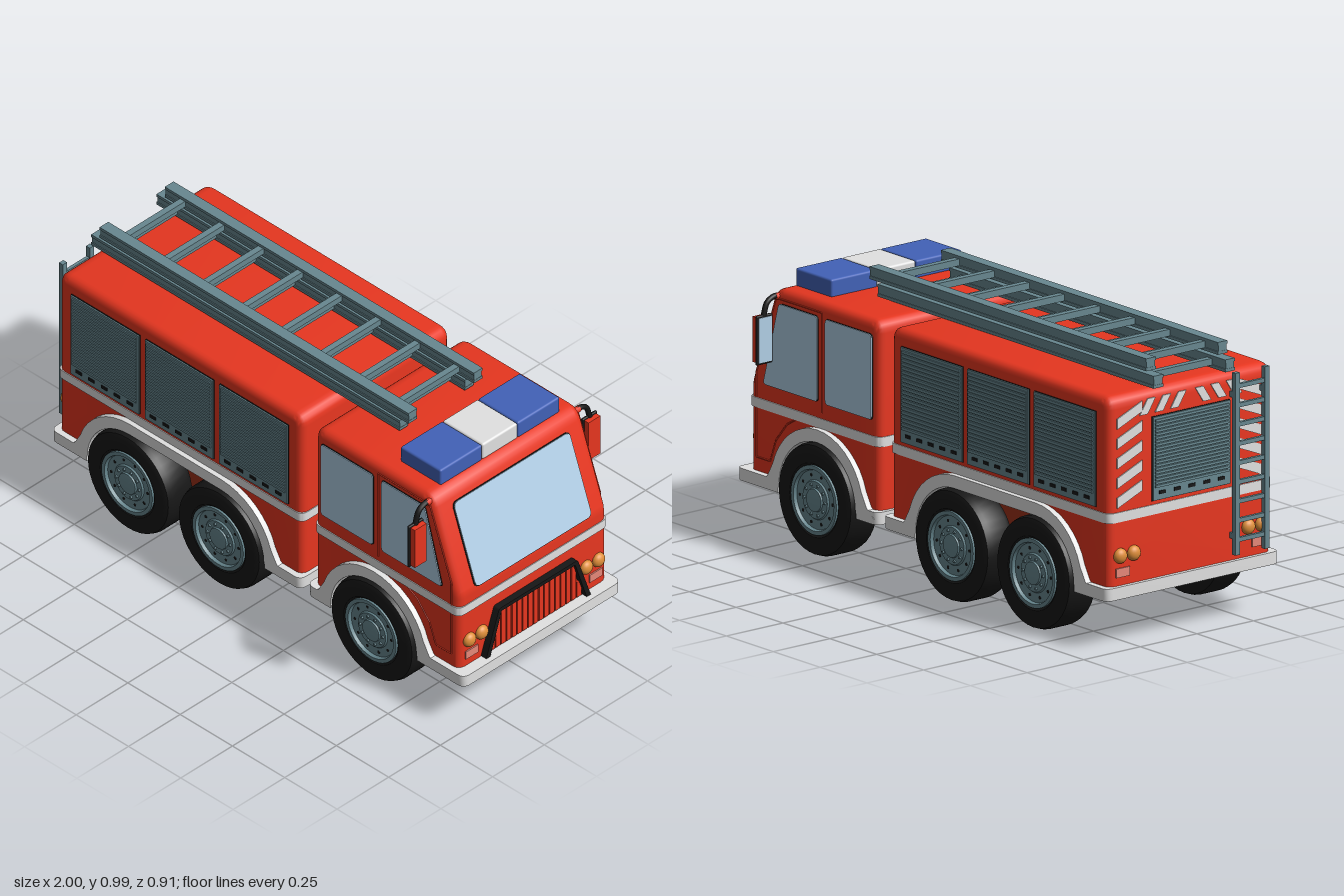
import * as THREE from 'three';
import { toCreasedNormals } from 'three/addons/utils/BufferGeometryUtils.js';
import { RoundedBoxGeometry } from 'three/addons/geometries/RoundedBoxGeometry.js';

const paint = (name, color) => Object.assign(new THREE.MeshStandardMaterial({ color }), { name });

export function createModel() {
  const red = paint('red', 0xee3821), darkRed = paint('dark red', 0x9e3019), grey = paint('light grey', 0xe2e2e2);
  const steel = paint('steel', 0x688890), black = paint('black', 0x171717), glass = paint('glass', 0xb3d1e8);
  const blue = paint('blue', 0x4262b8), orange = paint('orange', 0xe08f3a), pink = paint('pale red', 0xee8d7e);
  const truck = new THREE.Group();
  truck.name = 'fireTruck';

  const add = (name, geo, mat, parent = truck) => {
    const m = new THREE.Mesh(geo, mat);
    m.name = name;
    parent.add(m);
    return m;
  };
  const group = (name, parent = truck) => {
    const g = new THREE.Group();
    g.name = name;
    parent.add(g);
    return g;
  };
  // box from its min/max corners
  const box = (name, x0, x1, y0, y1, z0, z1, mat, parent = truck, r = 0) => {
    const s = [x1 - x0, y1 - y0, z1 - z0];
    const m = add(name, r ? new RoundedBoxGeometry(...s, 3, r) : new THREE.BoxGeometry(...s), mat, parent);
    m.position.set((x0 + x1) / 2, (y0 + y1) / 2, (z0 + z1) / 2);
    return m;
  };
  // polygon whose corners [x, y, r] are rounded by r
  const poly = (pts) => {
    const s = new THREE.Shape(), n = pts.length;
    pts.forEach(([x, y, r = 0], i) => {
      const toward = ([px, py]) => {
        const k = r / Math.hypot(px - x, py - y);
        return [x + (px - x) * k, y + (py - y) * k];
      };
      const start = r ? toward(pts[(i + n - 1) % n]) : [x, y];
      if (i) s.lineTo(...start); else s.moveTo(...start);
      if (r) s.quadraticCurveTo(x, y, ...toward(pts[(i + 1) % n]));
    });
    return s;
  };
  const rect = (x0, x1, y0, y1, r = 0) => [[x0, y0, r], [x1, y0, r], [x1, y1, r], [x0, y1, r]];
  const extrude = (shape, depth, bevel = 0) => {
    const g = new THREE.ExtrudeGeometry(shape, {
      depth: depth - 2 * bevel, curveSegments: 5, bevelEnabled: bevel > 0,
      bevelThickness: bevel, bevelSize: bevel, bevelOffset: -bevel, bevelSegments: 4,
    });
    return toCreasedNormals(g.translate(0, 0, bevel), 0.6);
  };
  const plate = (name, pts, mat, parent, depth = 0.006) => add(name, extrude(poly(pts), depth), mat, parent);

  // wheel opening, left to right: two quarter arcs, joined by a flat top if a and b differ
  const Y = 0.195;
  const arch = (a, b, r, skip = 0) => {
    const pts = [];
    for (let i = skip; i <= 20 - skip; i++) {
      const t = Math.PI * (1 - i / 20), y = Y + r * Math.sin(t);
      if (i <= 10) pts.push([a + r * Math.cos(t), y]);
      if (i > 10 || (i === 10 && a !== b)) pts.push([b + r * Math.cos(t), y]);
    }
    return pts;
  };
  // horizontal slab, notched for the wheels where asked
  const slab = (name, x0, x1, w, y0, y1, mat, notch) => {
    const [p, q, r, s] = rect(x0, x1, -w, w, 0.03);
    const cut = (a, b, k) => [[a, k * w], [a, k * 0.26], [b, k * 0.26], [b, k * w]];
    const pts = notch ? [p, ...cut(notch[0], notch[1], -1), q, r, ...cut(notch[1], notch[0], 1), s] : [p, q, r, s];
    const m = plate(name, pts, mat, truck, y1 - y0);
    m.rotation.x = -Math.PI / 2;
    m.position.y = y0;
  };

  // bodies, skirts, stripes and fenders
  const sections = [
    { name: 'rearBody', x0: -0.965, x1: 0.2, a: -0.6, b: -0.165, s0: -0.98, s1: 0.215,
      top: [[0.2, 0.89, 0.045], [-0.965, 0.89, 0.045]] },
    { name: 'cab', x0: 0.26, x1: 0.95, a: 0.565, b: 0.565, s0: 0.245, s1: 0.995,
      top: [[0.95, 0.53, 0.02], [0.82, 0.89, 0.045], [0.26, 0.89, 0.045]] },
  ];
  for (const { name, x0, x1, a, b, s0, s1, top } of sections) {
    const shell = [[x0, Y], ...arch(a, b, 0.21), [x1, Y], ...top];
    add(name, extrude(poly(shell), 0.72, 0.03), red).position.z = -0.36;
    box(name + 'WheelWell', x0 + 0.04, x1 - 0.04, 0.185, 0.5, -0.26, 0.26, darkRed);
    const notch = [a - 0.207, b + 0.207];
    slab(name + 'Skirt', s0, s1, 0.382, 0.176, 0.22, grey, notch);
    slab(name + 'Floor', s0 + 0.015, s1 - 0.015, 0.367, 0.174, 0.18, darkRed, notch);
    slab(name + 'Stripe', x0 - 0.003, x1 + 0.003, 0.363, 0.445, 0.48, grey);
    const R = 0.25;
    const band = [...arch(a, b, 0.205), [b + R + 0.055, Y], [b + R + 0.015, Y + 0.03],
      ...arch(a, b, R, 2).reverse(), [a - R - 0.015, Y + 0.03], [a - R - 0.055, Y]];
    for (const z of [0.28, -0.382]) plate(name + 'Fender', band, grey, truck, 0.102).position.z = z;
  }

  // wheels
  const lathe = (pts) => toCreasedNormals(new THREE.LatheGeometry(pts.map(([x, y]) => new THREE.Vector2(x, y)), 40), 0.6);
  const tyre = lathe([[0.115, -0.06], [0.175, -0.065], [0.192, -0.058], [0.198, -0.04], [0.198, 0.04],
    [0.192, 0.058], [0.175, 0.065], [0.13, 0.062], [0.115, 0.05]]);
  const rim = lathe([[0.122, 0.045], [0.122, 0.064], [0.108, 0.064], [0.104, 0.052], [0.07, 0.052],
    [0.066, 0.058], [0.042, 0.058], [0.04, 0.064], [0.03, 0.066], [0, 0.066]]);
  const disc = new THREE.CylinderGeometry(0.118, 0.118, 0.1, 32);
  const bolt = new THREE.CylinderGeometry(0.005, 0.005, 0.01, 8);
  const hole = new THREE.CylinderGeometry(0.006, 0.006, 0.004, 10);
  for (const x of [-0.6, -0.165, 0.565]) for (const s of [1, -1]) {
    const w = group('wheel');
    w.position.set(x, 0.198, s * 0.333);
    w.rotation.x = s * Math.PI / 2;
    add('tyre', tyre, black, w);
    add('rim', rim, steel, w);
    add('innerDisc', disc, black, w).position.y = -0.01;
    for (let i = 0; i < 10; i++) {
      const t = i * Math.PI / 5, c = Math.cos(t), n = Math.sin(t);
      add('bolt', bolt, steel, w).position.set(0.054 * c, 0.059, 0.054 * n);
      add('rimHole', hole, black, w).position.set(0.087 * c, 0.051, 0.087 * n);
    }
  }

  // roller shutter: outline, backing, slats and handles
  const shutter = (x0, x1, y0, y1, parent) => {
    const g = group('shutter', parent);
    plate('shutterOutline', rect(x0 - 0.002, x1 + 0.002, y0 - 0.002, y1 + 0.002), black, g, 0.003);
    plate('shutterPanel', rect(x0, x1, y0, y1), steel, g, 0.008);
    const n = 20, h = (y1 - y0 - 0.05) / n;
    for (let i = 0; i < n; i++) {
      const y = y0 + 0.045 + i * h;
      box('slat', x0 + 0.008, x1 - 0.008, y, y + h * 0.7, 0.005, 0.012, steel, g);
    }
    for (let i = 0; i < 5; i++) {
      const x = x0 + 0.04 + i * (x1 - x0 - 0.08) / 4;
      box('handle', x - 0.014, x + 0.014, y0 + 0.02, y0 + 0.032, 0.005, 0.011, black, g);
    }
  };

  // both sides: shutters, windows, doors and mirrors
  for (const s of [1, -1]) {
    const side = group('sidePanels');
    side.position.z = s * 0.36;
    side.rotation.y = s > 0 ? 0 : Math.PI;
    for (const x of [-0.736, -0.381, -0.026]) shutter(s * x - 0.162, s * x + 0.162, 0.495, 0.83, side);
    const panes = [rect(0.295, 0.543, 0.537, 0.838, 0.015),
      [[0.585, 0.537, 0.015], [0.873, 0.537, 0.015], [0.79, 0.838, 0.015], [0.585, 0.838, 0.015]]];
    for (const pane of panes) {
      const pts = pane.map(([x, y, r]) => [s * x, y, r]);
      const cx = pts.reduce((t, q) => t + q[0] / 4, 0), cy = 0.6875;
      plate('windowSeal', pts.map(([x, y, r]) => [cx + (x - cx) * 1.015, cy + (y - cy) * 1.012, r]), black, side, 0.003);
      plate('sideWindow', pts, glass, side);
    }
    const seam = [[0.565, 0.5], [0.565, 0.855], [0.81, 0.855], [0.915, 0.57], [0.915, 0.27], [0.84, 0.27],
      [0.81, 0.35], [0.75, 0.42], [0.67, 0.465]].map(([x, y]) => new THREE.Vector3(s * x, y, 0));
    for (let i = 1; i < seam.length; i++)
      add('doorSeam', new THREE.TubeGeometry(new THREE.LineCurve3(seam[i - 1], seam[i]), 1, 0.003, 5), red, side);

    const mirror = group('mirror');
    const [z0, z1] = s > 0 ? [0.385, 0.456] : [-0.456, -0.385];
    box('mirrorFrame', 0.796, 0.808, 0.633, 0.808, z0, z1, black, mirror, 0.005);
    box('mirrorShell', 0.804, 0.828, 0.64, 0.801, z0 + 0.007, z1 - 0.007, red, mirror);
    box('mirrorGlass', 0.794, 0.8, 0.641, 0.8, z0 + 0.007, z1 - 0.007, glass, mirror);
    const arm = [[0.862, 0.35], [0.864, 0.375], [0.848, 0.405], [0.8, 0.422]];
    add('mirrorArm', new THREE.TubeGeometry(new THREE.CatmullRomCurve3(
      arm.map(([y, z]) => new THREE.Vector3(0.803, y, s * z))), 20, 0.01, 10), black, mirror);
    const base = add('mirrorBase', new THREE.CylinderGeometry(0.012, 0.012, 0.03, 12), red, mirror);
    base.rotation.x = Math.PI / 2;
    base.position.set(0.803, 0.862, s * 0.355);
  }

  // windscreen on the sloping front
  const screen = group('windscreen');
  screen.position.set(0.95, 0.53, 0);
  screen.rotation.set(0, Math.PI / 2, Math.atan2(0.13, 0.36), 'ZYX');
  plate('windscreenSeal', rect(-0.283, 0.283, -0.001, 0.325, 0.022), black, screen, 0.003);
  plate('windscreenGlass', rect(-0.28, 0.28, 0.002, 0.322, 0.022), glass, screen);

  // lamps at both ends
  for (const [x, d] of [[0.95, 1], [-0.965, -1]]) for (const s of [1, -1]) {
    for (const z of [0.253, 0.312]) {
      const lamp = add('lamp', new THREE.SphereGeometry(0.027, 20, 14), orange);
      lamp.scale.x = 0.75;
      lamp.position.set(x + d * 0.003, 0.326, s * z);
    }
    box('reflector', x - 0.005, x + 0.005, 0.25, 0.282, s * 0.3 - 0.03, s * 0.3 + 0.03, pink);
  }

  // grille
  const nose = group('grille');
  nose.position.x = 0.95;
  nose.rotation.y = Math.PI / 2;
  plate('grilleBack', [[-0.24, 0.222], [0.24, 0.222], [0.18, 0.395], [-0.18, 0.395]], darkRed, nose, 0.004);
  plate('grilleFrame', [[-0.253, 0.222], [-0.233, 0.222], [-0.178, 0.388], [0.178, 0.388],
    [0.233, 0.222], [0.253, 0.222], [0.19, 0.403, 0.01], [-0.19, 0.403, 0.01]], black, nose, 0.026);
  for (let i = -8; i <= 8; i++) {
    const x = i * 0.0262, y1 = Math.min(0.39, 0.222 + (0.235 - Math.abs(x)) * 2.9);
    box('grilleBar', x - 0.0105, x + 0.0105, 0.232, y1, 0, 0.014, red, nose);
  }

  // rear face: shutter and hazard stripes
  const back = group('rearFace');
  back.position.x = -0.965;
  back.rotation.y = -Math.PI / 2;
  shutter(-0.17, 0.17, 0.495, 0.79, back);
  for (const s of [1, -1]) {
    for (let i = 0; i < 5; i++) {
      const y = 0.495 + i * 0.07;
      plate('hazardStripe', [[s * 0.325, y], [s * 0.215, y + 0.045], [s * 0.215, y + 0.082], [s * 0.325, y + 0.037]], grey, back, 0.004);
    }
    for (let i = 0; i < 3; i++) {
      const x = 0.02 + i * 0.068;
      plate('hazardStripe', [[s * (x + 0.035), 0.806], [s * (x + 0.07), 0.806], [s * (x + 0.035), 0.86], [s * x, 0.86]], grey, back, 0.004);
    }
  }

  // rear climbing ladder
  const climb = group('rearLadder');
  for (const z of [0.18, 0.31]) {
    box('climbRail', -1, -0.982, 0.245, 0.89, z - 0.01, z + 0.01, steel, climb);
    for (const y of [0.3, 0.8]) box('climbBracket', -0.99, -0.95, y, y + 0.02, z - 0.007, z + 0.007, steel, climb);
  }
  for (let i = 0; i < 9; i++) box('climbRung', -0.997, -0.985, 0.29 + i * 0.068, 0.305 + i * 0.068, 0.18, 0.31, steel, climb);

  // two-stage roof ladder
  const ladder = group('roofLadder');
  for (const [x0, x1, y, first] of [[-0.985, 0.487, 0.898, -0.9], [-0.945, 0.53, 0.951, -0.862]]) {
    for (const z of [0.158, -0.158]) {
      box('ladderRail', x0, x1, y, y + 0.042, z - 0.018, z + 0.018, steel, ladder);
      for (const e of [-0.001, 0.032]) box('railLip', x0 - 0.001, x1 + 0.001, y + e, y + e + 0.011, z - 0.021, z + 0.021, steel, ladder);
    }
    for (let i = 0; i < 8; i++) {
      const x = first + i * 0.187;
      box('ladderRung', x - 0.012, x + 0.012, y + 0.008, y + 0.032, -0.15, 0.15, steel, ladder);
    }
  }

  // light bar
  for (const [z0, z1, mat] of [[-0.289, -0.086, blue], [-0.085, 0.085, grey], [0.086, 0.289, blue]])
    box('lightBar', 0.6, 0.793, 0.885, 0.951, z0, z1, mat, truck, 0.008);

  return truck;
}
